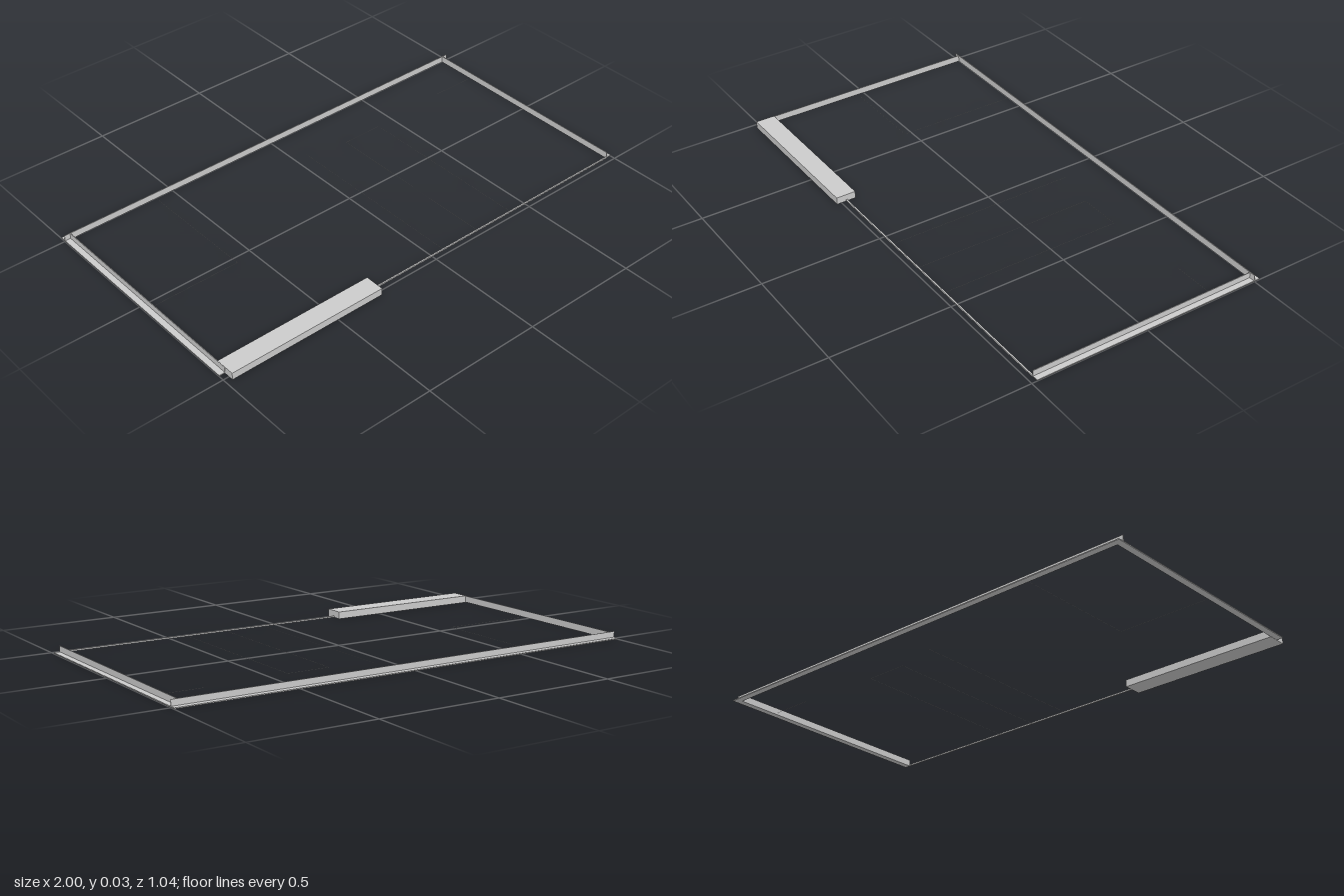
import * as THREE from 'three';

const material = new THREE.MeshStandardMaterial({ color: 0xcccccc });

// Box given by its min and max corners
function block(name, [x0, y0, z0], [x1, y1, z1]) {
  const geometry = new THREE.BoxGeometry(x1 - x0, y1 - y0, z1 - z0);
  geometry.translate((x0 + x1) / 2, (y0 + y1) / 2, (z0 + z1) / 2);
  const mesh = new THREE.Mesh(geometry, material);
  mesh.name = name;
  return mesh;
}

export function createModel() {
  const group = new THREE.Group();
  group.name = 'boundaryFrame';
  const H = 0.029;     // top of the upright walls
  const F = 0.005;     // flange thickness
  const T = 0.003;     // wall thickness

  // Back: upright wall with a flat flange reaching outwards
  group.add(block('backWall', [-1, 0.001, -0.5], [1, H, -0.5 + T]));
  group.add(block('backFlange', [-1, 0.001, -0.524], [1, F, -0.5]));

  // Sides: mirrored uprights with outward flanges
  for (const [side, s] of [['left', 1], ['right', -1]]) {
    const span = (a, b) => [Math.min(s * a, s * b), Math.max(s * a, s * b)];
    const [w0, w1] = span(0.973, 0.973 + T);
    const [f0, f1] = span(0.973, 1);
    group.add(block(side + 'Wall', [w0, 0.001, -0.497], [w1, H, 0.478]));
    group.add(block(side + 'Flange', [f0, 0.001, -0.497], [f1, F, 0.478]));
  }

  // Front: low sill and the long solid block on the right
  group.add(block('frontSill', [-0.973, 0.001, 0.474], [0.973, 0.007, 0.48]));
  group.add(block('frontBlock', [-0.975, 0, 0.437], [-0.29, 0.03, 0.52]));

  // Hairline floor seams: x, z start and x, z end
  const seams = [
    [0.06, 0.47, 0.06, -0.34], [0.24, 0.47, 0.24, -0.3], [0.42, 0.47, 0.42, -0.3],
    [0.24, -0.3, 0.42, -0.3], [-0.96, 0.03, -0.58, 0.03], [-0.58, 0.03, -0.58, -0.49],
    [0.78, -0.32, 0.96, -0.32],
  ];
  const e = 0.0003;
  for (const [xa, za, xb, zb] of seams) {
    group.add(block('floorSeam',
      [Math.min(xa, xb) - e, 0.001, Math.min(za, zb) - e],
      [Math.max(xa, xb) + e, 0.0018, Math.max(za, zb) + e]));
  }
  return group;
}
